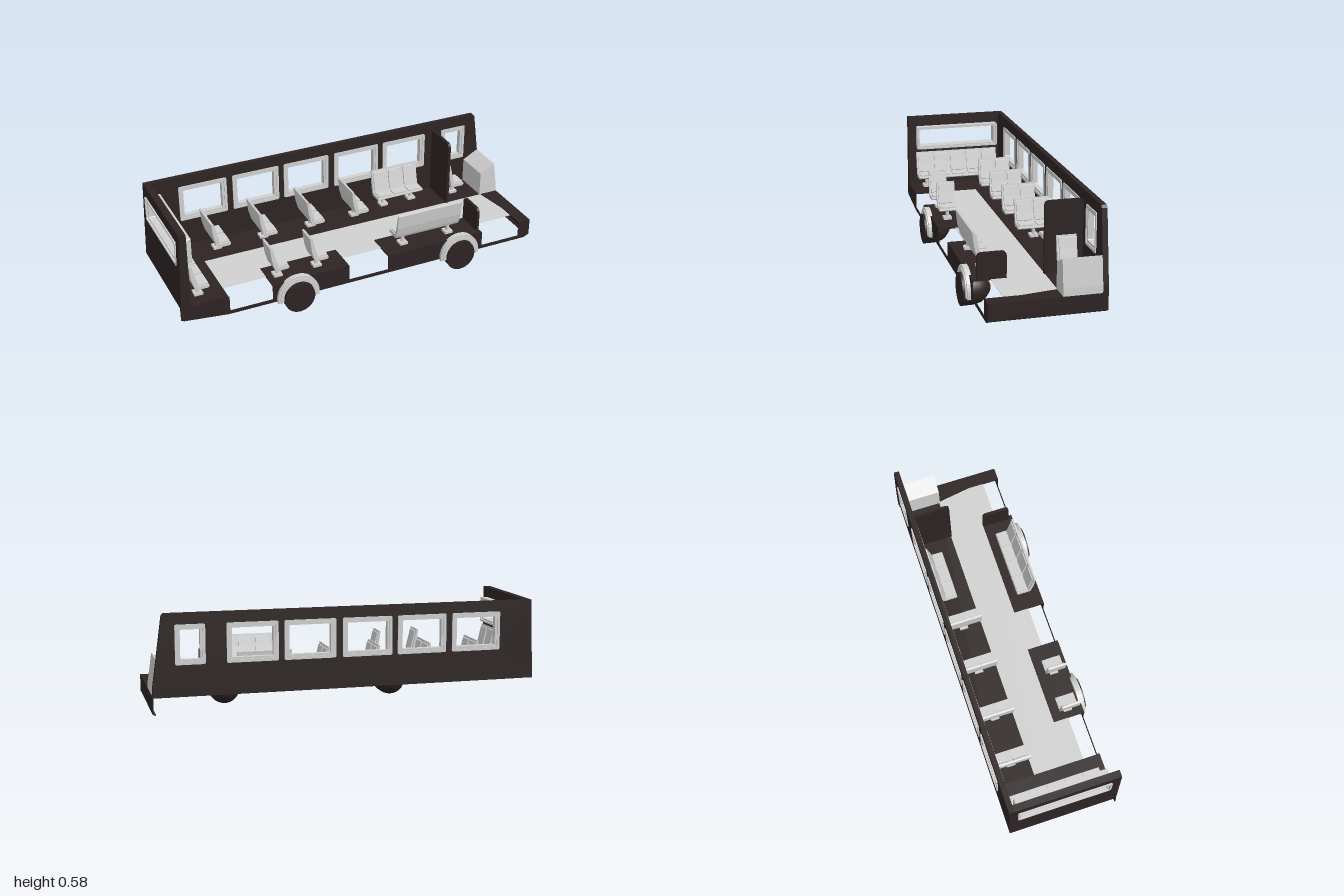
import * as THREE from 'three';

const dark = new THREE.MeshStandardMaterial({ color: 0x2d2423, side: THREE.DoubleSide });
dark.name = 'dark body';
const light = new THREE.MeshStandardMaterial({ color: 0xd0d0d0, side: THREE.DoubleSide });
light.name = 'light grey';

const FLOOR = 0.178;
const pts = (a) => a.map(([x, y]) => new THREE.Vector2(x, y));
const rect = (x0, y0, x1, y1) => [[x0, y0], [x1, y0], [x1, y1], [x0, y1]];

// Rectangle with rounded corners; the bottom ones may stay square
function rounded(x0, y0, x1, y1, r, bottom = r) {
  const out = [];
  const corner = (cx, cy, q, rad) => {
    for (let i = 0; i <= 4; i++) {
      const a = (q + i / 4) * Math.PI / 2;
      out.push([cx + rad * Math.cos(a), cy + rad * Math.sin(a)]);
    }
  };
  corner(x1 - r, y1 - r, 0, r);
  corner(x0 + r, y1 - r, 1, r);
  if (bottom) {
    corner(x0 + r, y0 + r, 2, r);
    corner(x1 - r, y0 + r, 3, r);
  } else out.push([x0, y0], [x1, y0]);
  return out;
}

function slab(outline, depth, holes = []) {
  const shape = new THREE.Shape(pts(outline));
  holes.forEach((h) => shape.holes.push(new THREE.Path(pts(h))));
  return new THREE.ExtrudeGeometry(shape, { depth, bevelEnabled: false });
}

function add(parent, name, geometry, material, x = 0, y = 0, z = 0) {
  const mesh = new THREE.Mesh(geometry, material);
  mesh.name = name;
  mesh.position.set(x, y, z);
  parent.add(mesh);
  return mesh;
}

// Two-step window frame in the xy plane, centred on z = 0
function windowFrame(x0, y0, x1, y1, width, depth) {
  const g = new THREE.Group();
  g.name = 'windowFrame';
  const step = (name, a, b, d) => add(g, name, slab(
    rounded(x0 + a, y0 + a, x1 - a, y1 - a, 0.008), d,
    [rounded(x0 + b, y0 + b, x1 - b, y1 - b, 0.006)]), light, 0, 0, -d / 2);
  step('outerFrame', 0, width * 0.55, depth);
  step('innerFrame', width * 0.5, width, depth * 0.75);
  return g;
}

// Row of seats facing +x, with the top of the backrest at x = 0
function seatRow(name, count, width) {
  const g = new THREE.Group();
  g.name = name;
  const shell = [[0, 0.375], [0.01, 0.378], [0.022, 0.315], [0.038, 0.252], [0.1, 0.25],
    [0.103, 0.24], [0.095, 0.233], [0.03, 0.233], [0.022, 0.25], [0.009, 0.3]];
  add(g, 'seatShell', slab(shell, width), light, 0, 0, -width / 2);
  const w = width / count;
  const backPad = [[0.011, 0.368], [0.018, 0.366], [0.03, 0.315], [0.043, 0.265], [0.035, 0.26], [0.02, 0.315]];
  for (let i = 0; i < count; i++) {
    const z = -width / 2 + (i + 0.5) * w;
    add(g, 'backPad', slab(backPad, w * 0.82), light, 0, 0, z - w * 0.41);
    add(g, 'seatPad', new THREE.BoxGeometry(0.056, 0.008, w * 0.82), light, 0.07, 0.253, z);
  }
  const posts = count > 2 ? [-width / 2 + 0.052, width / 2 - 0.052] : [0];
  for (const z of posts) {
    add(g, 'seatPost', new THREE.CylinderGeometry(0.009, 0.011, 0.045, 12), light, 0.053, 0.212, z);
    add(g, 'seatFoot', new THREE.BoxGeometry(0.045, 0.014, 0.045), light, 0.053, 0.185, z);
  }
  return g;
}

export function createModel() {
  const bus = new THREE.Group();
  bus.name = 'cutawayBus';

  // Side wall with its windows
  const windows = [[-0.805, -0.543], [-0.51, -0.25], [-0.22, 0.04], [0.075, 0.34], [0.37, 0.63], [0.735, 0.885]];
  const wall = [[-0.98, 0.585], [-0.996, 0.17], [1, 0.17], [0.997, 0.22], [0.947, 0.572], [0.937, 0.585]];
  add(bus, 'sideWall', slab(wall, 0.027,
    windows.map(([a, b]) => rect(a + 0.01, 0.34, b - 0.01, 0.52))), dark, 0, 0, -0.3);
  for (const [a, b] of windows) {
    const frame = windowFrame(a, 0.33, b, 0.53, 0.026, 0.038);
    frame.position.z = -0.287;
    bus.add(frame);
  }

  // Rear wall: straight inside, leaning outside
  const rear = slab(rect(-0.3, 0.17, 0.275, 0.585), 0.036, [rect(-0.248, 0.402, 0.223, 0.523)]);
  rear.rotateY(-Math.PI / 2);
  const p = rear.attributes.position;
  for (let i = 0; i < p.count; i++) {
    if (p.getX(i) < -0.01) p.setX(i, -0.036 - (0.585 - p.getY(i)) * 0.039);
  }
  rear.computeVertexNormals();
  add(bus, 'rearWall', rear, dark, -0.944);
  const rearFrame = windowFrame(-0.255, 0.395, 0.23, 0.53, 0.017, 0.082);
  rearFrame.rotation.y = -Math.PI / 2;
  rearFrame.position.x = -0.949;
  bus.add(rearFrame);

  // Floors, outlined in x and z
  const floor = (name, outline, mat, thick, y) => {
    const geo = slab(outline, thick);
    geo.rotateX(Math.PI / 2);
    add(bus, name, geo, mat, 0, y);
  };
  floor('aisleFloor', rect(-0.76, -0.09, 0.94, 0.185), light, 0.002, 0.175);
  floor('rearPlatform', rect(-0.995, -0.3, -0.75, 0.275), dark, 0.008, FLOOR);
  floor('sidePlatform', rect(-0.75, -0.29, 0.9, -0.085), dark, 0.008, FLOOR);
  floor('backSeatPlatform', rect(-0.515, 0.105, -0.09, 0.275), dark, 0.008, FLOOR);
  floor('frontSeatPlatform', rect(0.135, 0.105, 0.695, 0.275), dark, 0.008, FLOOR);
  floor('nosePlatform', [[0.9, -0.29], [1, -0.29], [1, 0.275], [0.93, 0.275], [0.93, 0.1], [0.9, -0.085]], dark, 0.008, FLOOR);

  // Side skirt, notched at the doorways
  const skirt = [[-1, 0.175], [-1, 0.108], [-0.985, 0.1], [-0.75, 0.073], [0.97, 0.073], [1, 0.088], [1, 0.175]];
  for (const [a, b] of [[0.7, 0.93], [-0.09, 0.135], [-0.745, -0.515]]) {
    skirt.push([b, 0.175], [b, 0.092], [a, 0.092], [a, 0.175]);
  }
  add(bus, 'sideSkirt', slab(skirt, 0.003), dark, 0, 0, 0.272);

  // Front bumper and dashboard
  add(bus, 'frontBumper', slab([[1, 0.175], [1, 0.09], [0.985, 0.082], [0.983, 0.086], [0.995, 0.092], [0.995, 0.175]], 0.575),
    dark, 0, 0, -0.3);
  add(bus, 'dashboard', slab([[0.892, 0.175], [0.999, 0.175], [0.997, 0.215], [0.976, 0.356], [0.892, 0.31]], 0.194),
    light, 0, 0, -0.275);

  // Partitions
  for (const [name, z0, z1, top] of [['driverPartition', -0.275, -0.08, 0.542], ['doorPartition', 0.105, 0.252, 0.31]]) {
    const geo = slab(rounded(z0, 0.172, z1, top, 0.022, 0), 0.014);
    geo.rotateY(-Math.PI / 2);
    add(bus, name, geo, dark, 0.69);
  }

  // Seats: name, count, width, x, z, turn
  const quarter = Math.PI / 2;
  const seats = [
    ['rearBench', 5, 0.485, -0.932, -0.008, 0],
    ['driverSeat', 1, 0.1, 0.712, -0.18, 0],
    ['wallBench', 3, 0.275, 0.433, -0.268, -quarter],
    ['doorBench', 4, 0.375, 0.393, 0.247, quarter],
    ...[-0.7, -0.438, -0.165, 0.097].map((x) => ['doubleSeat', 2, 0.188, x, -0.182, 0]),
    ...[-0.512, -0.295].map((x) => ['singleSeat', 1, 0.1, x, 0.195, 0]),
  ];
  for (const [name, count, width, x, z, turn] of seats) {
    const row = seatRow(name, count, width);
    row.position.set(x, 0, z);
    row.rotation.y = turn;
    bus.add(row);
  }

  // Wheels with domed inner sides, and arched fenders
  const tyre = new THREE.LatheGeometry(pts([[0, 0.15], [0.022, 0.157], [0.043, 0.172], [0.058, 0.185],
    [0.07, 0.202], [0.078, 0.225], [0.082, 0.25], [0.083, 0.308]]), 32);
  tyre.rotateX(Math.PI / 2);
  const arch = (r0, r1, depth) => {
    const outline = [];
    const a0 = -0.2, a1 = Math.PI + 0.2;
    for (let i = 0; i <= 20; i++) {
      const a = a0 + (a1 - a0) * i / 20;
      outline.push([r1 * Math.cos(a), r1 * Math.sin(a)]);
    }
    for (let i = 20; i >= 0; i--) {
      const a = a0 + (a1 - a0) * i / 20;
      outline.push([r0 * Math.cos(a), r0 * Math.sin(a)]);
    }
    return slab(outline, depth);
  };
  for (const x of [-0.38, 0.555]) {
    add(bus, 'wheel', tyre, dark, x, 0.083);
    add(bus, 'wheelFace', new THREE.CircleGeometry(0.083, 32), dark, x, 0.083, 0.308);
    add(bus, 'fender', arch(0.084, 0.102, 0.033), light, x, 0.089, 0.265);
    add(bus, 'fenderRim', arch(0.1, 0.114, 0.028), light, x, 0.089, 0.265);
  }
  return bus;
}
